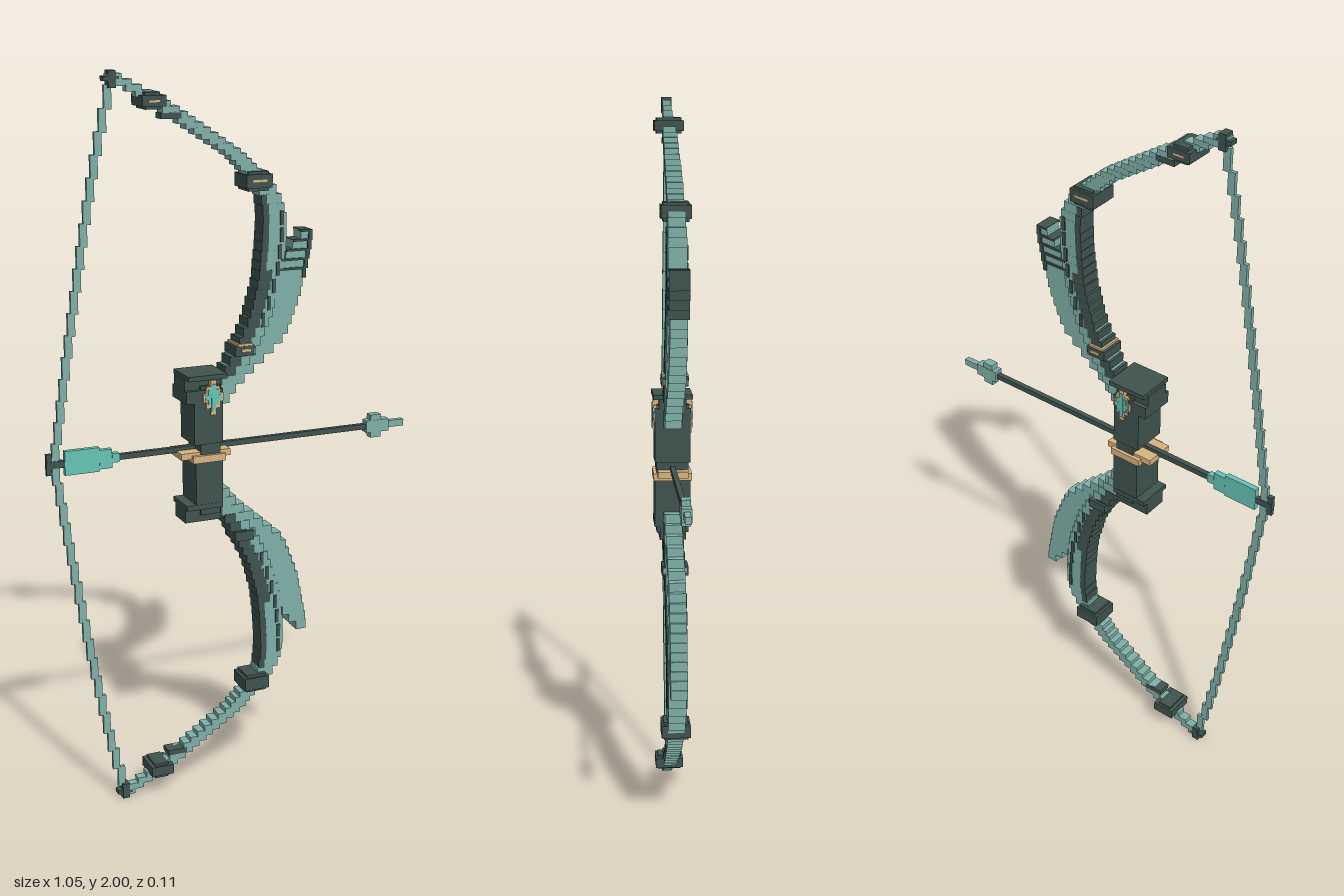
import * as THREE from 'three';
import { mergeGeometries } from 'three/addons/utils/BufferGeometryUtils.js';

const mat = (name, color) => {
  const m = new THREE.MeshStandardMaterial({ color });
  m.name = name;
  return m;
};

// linear lookup in a short list of [key, value, value...] rows
function lookup(rows, k) {
  let i = 0;
  while (i < rows.length - 2 && k > rows[i + 1][0]) i++;
  const a = rows[i], b = rows[i + 1];
  const t = Math.min(1, Math.max(0, (k - a[0]) / (b[0] - a[0])));
  return a.slice(1).map((v, j) => v + (b[j + 1] - v) * t);
}

export function createModel() {
  const bow = new THREE.Group();
  bow.name = 'bowAndArrow';
  const dark = mat('darkSlate', 0x40544f);
  const teal = mat('greyTeal', 0x7fb0a8);
  const bright = mat('brightTeal', 0x66c4b5);
  const tan = mat('tan', 0xdab480);

  // one mesh from boxes given as [x0, x1, y0, y1, zHalf]
  function blocks(name, material, list, parent = bow) {
    const geos = list.map(([x0, x1, y0, y1, h]) => {
      const lo = Math.min(y0, y1), hi = Math.max(y0, y1);
      const g = new THREE.BoxGeometry(x1 - x0, hi - lo, h * 2);
      g.translate((x0 + x1) / 2, (lo + hi) / 2, 0);
      return g;
    });
    const mesh = new THREE.Mesh(mergeGeometries(geos), material);
    mesh.name = name;
    parent.add(mesh);
    return mesh;
  }

  // limb centre line: distance from mid height, x, half width, half depth
  const limb = [
    [0.12, -0.06, 0.02, 0.025], [0.18, -0.02, 0.024, 0.026], [0.26, 0.03, 0.028, 0.027],
    [0.34, 0.07, 0.028, 0.027], [0.44, 0.1, 0.03, 0.026], [0.54, 0.112, 0.032, 0.025],
    [0.62, 0.113, 0.03, 0.025], [0.67, 0.1, 0.024, 0.024], [0.72, 0.06, 0.024, 0.022],
    [0.78, 0.0, 0.022, 0.022], [0.85, -0.105, 0.024, 0.02], [0.9, -0.18, 0.024, 0.019],
    [0.94, -0.248, 0.022, 0.014], [0.985, -0.33, 0.02, 0.011],
  ];
  // blade: distance from mid height, inner x, outer x
  const blade = [
    [0.12, -0.06, -0.03], [0.17, -0.03, 0.01], [0.24, 0.02, 0.09], [0.29, 0.05, 0.145],
    [0.34, 0.07, 0.165], [0.4, 0.09, 0.188], [0.46, 0.115, 0.2], [0.51, 0.145, 0.21],
    [0.54, 0.17, 0.216], [0.57, 0.2, 0.218],
  ];

  for (const s of [1, -1]) {
    const half = new THREE.Group();
    half.name = s > 0 ? 'upperLimb' : 'lowerLimb';
    bow.add(half);
    const Y = d => 1 + s * d;

    // stepped limb core, with a dark strip along the string side that thins outward
    const core = [], strip = [];
    for (let d = 0.12; d < 0.985;) {
      const step = d < 0.68 ? 0.025 : 0.014;
      const [x, w, h] = lookup(limb, d + step / 2);
      core.push([x - w, x + w, Y(d), Y(d + step + 0.003), h]);
      if (d > 0.17 && d < 0.66) {
        const inner = d < 0.46 ? x : x - w * 0.65;
        strip.push([x - w - 0.007, inner, Y(d), Y(d + step + 0.002), h + 0.002]);
      }
      d += step;
    }
    blocks('limbCore', teal, core, half);
    blocks('limbStrip', dark, strip, half);

    // dark ridge running along the outer part of the limb
    const ridge = [];
    for (let d = 0.32; d < 0.62; d += 0.045) {
      const [x, w, h] = lookup(limb, d);
      ridge.push([x + w * 0.4, x + w * 0.72, Y(d), Y(d + 0.038), h + 0.003]);
    }
    blocks('limbRidge', dark, ridge, half);

    // broad stepped blade, the upper one with dark edges at its end
    const fin = [], edge = [];
    for (let d = 0.12; d < 0.565; d += 0.025) {
      const [a, b] = lookup(blade, d + 0.0125);
      fin.push([a, b, Y(d), Y(d + 0.027), 0.023]);
      if (d > 0.43) {
        edge.push([b - 0.008, b + 0.003, Y(d), Y(d + 0.028), 0.027]);
        edge.push([a, b - 0.006, Y(d + 0.023), Y(d + 0.029), 0.027]);
      }
    }
    blocks('blade', teal, fin, half);
    if (s > 0) blocks('bladeEdge', dark, edge, half);

    // square cuffs
    blocks('cuffs', dark, [
      [0.022, 0.096, Y(0.692), Y(0.728), 0.04],
      [0.03, 0.088, Y(0.684), Y(0.735), 0.034],
      [-0.262, -0.198, Y(0.91), Y(0.938), 0.04],
      [-0.252, -0.212, Y(0.903), Y(0.946), 0.034],
      [-0.205, -0.15, Y(0.877), Y(0.892), 0.02],
      [-0.008, 0.048, Y(0.248), Y(0.275), 0.036],
    ], half);
    blocks('cuffPlate', teal, [[0.03, 0.053, Y(0.252), Y(0.268), 0.033]], half);
    if (s > 0) {
      blocks('cuffTrim', tan, [
        [0.0, 0.044, Y(0.273), Y(0.281), 0.035],
        [0.01, 0.036, Y(0.26), Y(0.267), 0.038],
      ], half);
      blocks('cuffInlay', tan, [
        [0.04, 0.08, Y(0.708), Y(0.714), 0.0405],
        [-0.245, -0.215, Y(0.921), Y(0.926), 0.0405],
      ], half);
    }

    // knob where the string ties on
    blocks('tipKnob', dark, [
      [-0.354, -0.312, Y(0.974), Y(0.986), 0.012],
      [-0.341, -0.321, Y(0.957), Y(1), 0.014],
    ], half);

    // string in short upright pieces
    const string = [], n = 17;
    for (let i = 0; i < n; i++) {
      const t = (i + 0.5) / n;
      const x = -0.33 - 0.178 * Math.pow(t, 0.8);
      string.push([x - 0.01, x + 0.01, Y(0.965 * (1 - i / n)), Y(0.965 * (1 - (i + 1) / n) - 0.004), 0.005]);
    }
    blocks('string', teal, string, half);
  }

  // grip with stepped end caps
  blocks('grip', dark, [
    [-0.112, -0.055, 0.82, 1.18, 0.044],
    [-0.132, -0.05, 1.02, 1.15, 0.049],
    [-0.128, -0.05, 0.85, 0.972, 0.049],
    [-0.155, -0.05, 1.135, 1.17, 0.05],
    [-0.155, -0.05, 1.165, 1.2, 0.038],
    [-0.15, -0.038, 1.197, 1.21, 0.054],
    [-0.155, -0.05, 0.838, 0.852, 0.05],
    [-0.155, -0.05, 0.8, 0.84, 0.036],
  ]);

  // band around the grip
  blocks('gripBand', tan, [
    [-0.167, -0.025, 0.98, 0.998, 0.042],
    [-0.137, -0.043, 0.97, 0.99, 0.053],
  ]);

  // gem ornament on both faces of the grip
  blocks('gemSetting', tan, [
    [-0.086, -0.07, 1.1, 1.195, 0.053],
    [-0.108, -0.05, 1.138, 1.16, 0.053],
    [-0.098, -0.06, 1.12, 1.178, 0.052],
  ]);
  blocks('gem', bright, [
    [-0.094, -0.064, 1.13, 1.17, 0.055],
    [-0.102, -0.056, 1.142, 1.156, 0.0555],
    [-0.085, -0.073, 1.112, 1.185, 0.056],
  ]);

  // arrow
  const arrow = new THREE.Group();
  arrow.name = 'arrow';
  bow.add(arrow);
  blocks('arrowShaft', dark, [[-0.5, 0.42, 0.993, 1.008, 0.007]], arrow);
  blocks('arrowNock', dark, [
    [-0.53, -0.485, 0.991, 1.01, 0.007],
    [-0.53, -0.515, 0.973, 1.03, 0.006],
  ], arrow);
  blocks('fletching', bright, [
    [-0.48, -0.385, 0.968, 1.034, 0.0075],
    [-0.385, -0.35, 0.974, 1.026, 0.008],
    [-0.35, -0.33, 0.988, 1.013, 0.0085],
  ], arrow);
  blocks('arrowHead', teal, [
    [0.405, 0.475, 0.983, 1.018, 0.013],
    [0.418, 0.45, 0.968, 1.034, 0.012],
    [0.475, 0.525, 0.991, 1.01, 0.008],
  ], arrow);

  return bow;
}
